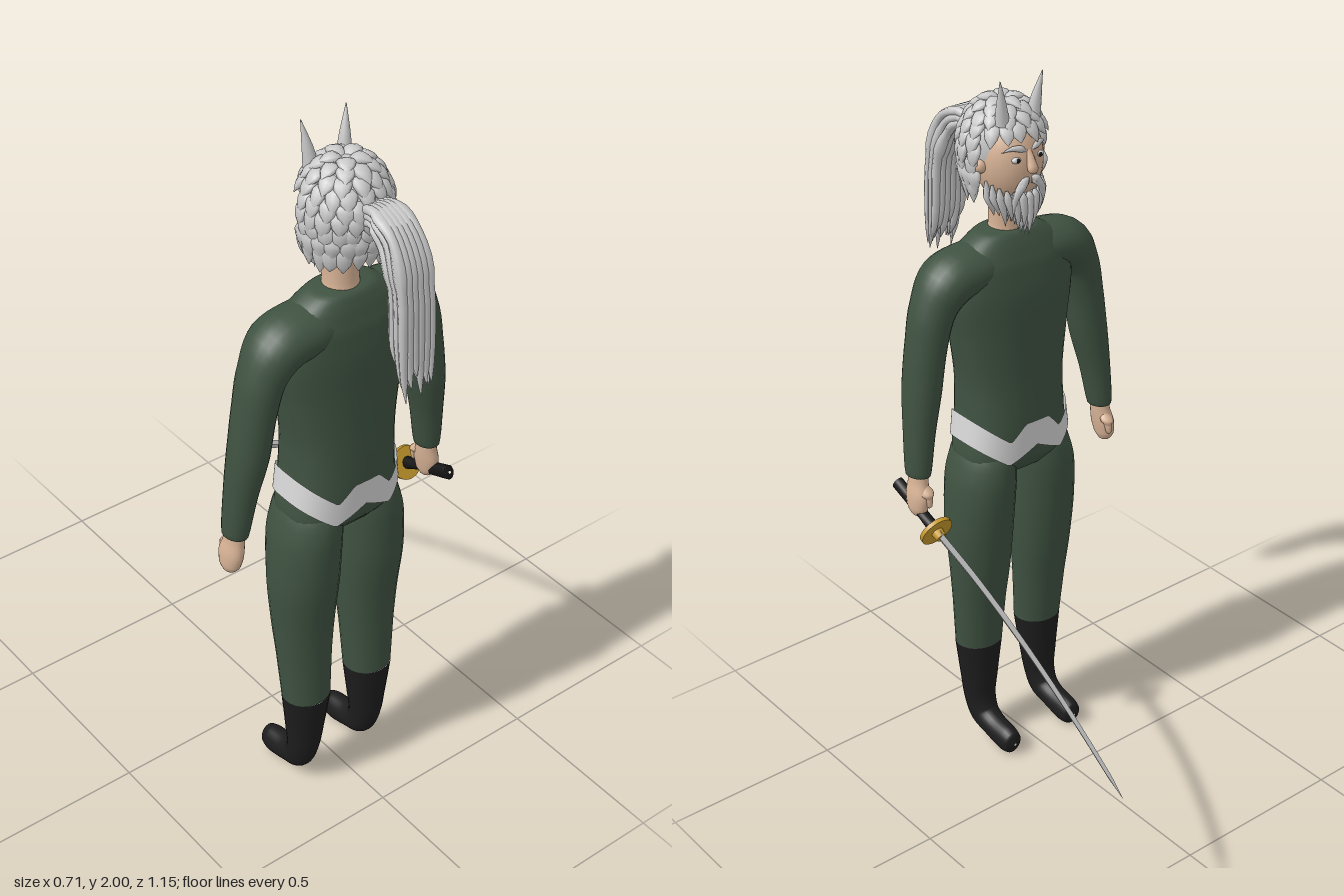
import * as THREE from 'three';
import { mergeGeometries } from 'three/addons/utils/BufferGeometryUtils.js';

const V = (x, y, z) => new THREE.Vector3(x, y, z);
const mat = (name, color) => Object.assign(new THREE.MeshStandardMaterial({ color }), { name });
const X = V(1, 0, 0), Z = V(0, 0, 1);
const lerp = THREE.MathUtils.lerp;

// signed power, squares off an ellipse
const pow = (v, p) => Math.sign(v) * Math.abs(v) ** p;

// Skin over sections [x, y, z, radius along axis, radius across axis]
function loft(sections, axis, { sides = 24, steps = 5, p = 1, flat = false } = {}) {
  const path = new THREE.CatmullRomCurve3(sections.map(s => V(s[0], s[1], s[2])));
  const size = new THREE.CatmullRomCurve3(sections.map(s => V(s[3], s[4], 0)));
  const n = (sections.length - 1) * steps, pos = [], idx = [];
  for (let i = 0; i <= n; i++) {
    const c = path.getPoint(i / n), r = size.getPoint(i / n);
    const w = path.getTangent(i / n).cross(axis).normalize();
    for (let j = 0; j < sides; j++) {
      const a = j / sides * Math.PI * 2;
      const q = c.clone().addScaledVector(axis, r.x * pow(Math.cos(a), p)).addScaledVector(w, r.y * pow(Math.sin(a), p));
      pos.push(q.x, q.y, q.z);
      if (i < n) {
        const k = i * sides + j, l = i * sides + (j + 1) % sides;
        idx.push(k, l, k + sides, l, l + sides, k + sides);
      }
    }
  }
  let g = new THREE.BufferGeometry();
  g.setAttribute('position', new THREE.Float32BufferAttribute(pos, 3));
  g.setIndex(idx);
  if (flat) g = g.toNonIndexed();
  g.computeVertexNormals();
  return g;
}

export function createModel() {
  const root = new THREE.Group();
  const cloth = mat('green cloth', 0x3f5241), boot = mat('black boots', 0x1d1d1d);
  const hair = mat('grey hair', 0xc9c9c9), white = mat('white sash', 0xd6d6d6);
  const skin = mat('skin', 0xd8b396), gold = mat('gold', 0xc79a2c);
  const steel = mat('steel', 0xa8a8a8), black = mat('black wrap', 0x141414);
  sash: white.side = THREE.DoubleSide;
  const body = new THREE.Group();
  body.name = 'body';
  body.position.x = -0.012;
  root.add(body);
  const add = (name, geo, m, parent = body) => {
    const mesh = new THREE.Mesh(geo, m);
    mesh.name = name;
    parent.add(mesh);
    return mesh;
  };
  let seed = 7;
  const rnd = () => (seed = (seed * 16807) % 2147483647) / 2147483647;

  // Torso
  add('torso', loft([
    [0, 0.9, 0.28, 0.13, 0.08], [0, 0.95, 0.28, 0.164, 0.114], [0, 1.05, 0.28, 0.15, 0.118],
    [0, 1.15, 0.28, 0.148, 0.114], [0, 1.3, 0.278, 0.168, 0.108], [0, 1.42, 0.278, 0.188, 0.102],
    [0, 1.5, 0.28, 0.18, 0.09], [0, 1.55, 0.282, 0.135, 0.072], [0, 1.58, 0.283, 0.085, 0.055],
    [0, 1.588, 0.283, 0.03, 0.02]], X, { sides: 40, p: 0.8 }), cloth);

  // Jagged sash around the waist
  const zig = (nodes, t) => {
    for (let i = 1; i < nodes.length; i++) {
      const [a, b] = [nodes[i - 1], nodes[i]];
      if (t <= b[0]) return lerp(a[1], b[1], (t - a[0]) / (b[0] - a[0]));
    }
    return nodes[nodes.length - 1][1];
  };
  const sash = new THREE.CylinderGeometry(1, 1, 1, 120, 3, true);
  const sp = sash.attributes.position;
  for (let i = 0; i < sp.count; i++) {
    const x = pow(sp.getX(i), 0.8), z = pow(sp.getZ(i), 0.8), t = Math.abs(x);
    const top = zig([[0, 1.06], [0.25, 1.06], [0.5, 1.012], [1, 1.072]], t);
    const low = zig([[0, 0.985], [0.5, 0.943], [1, 1.0]], t);
    const y = lerp(low, top, sp.getY(i) + 0.5), k = (y - 0.95) / 0.1;
    sp.setXYZ(i, x * lerp(0.171, 0.156, k), y, 0.28 + z * lerp(0.12, 0.124, k));
  }
  sash.computeVertexNormals();
  add('sash', sash, white);

  for (const s of [-1, 1]) {
    const side = s < 0 ? 'right' : 'left';
    // Legs and boots
    add(side + 'Leg', loft([
      [s * 0.07, 1.02, 0.28, 0.06, 0.08], [s * 0.09, 0.94, 0.28, 0.08, 0.106], [s * 0.1, 0.87, 0.281, 0.09, 0.11],
      [s * 0.106, 0.74, 0.285, 0.094, 0.1], [s * 0.106, 0.6, 0.286, 0.087, 0.083],
      [s * 0.106, 0.48, 0.293, 0.078, 0.07], [s * 0.105, 0.325, 0.303, 0.068, 0.062]], X), cloth);
    add(side + 'Boot', loft([
      [s * 0.105, 0.33, 0.303, 0.069, 0.063], [s * 0.107, 0.22, 0.302, 0.056, 0.052],
      [s * 0.109, 0.13, 0.298, 0.045, 0.044], [s * 0.109, 0.082, 0.278, 0.04, 0.043],
      [s * 0.109, 0.06, 0.235, 0.035, 0.038], [s * 0.109, 0.046, 0.175, 0.033, 0.042],
      [s * 0.109, 0.043, 0.146, 0.027, 0.034], [s * 0.109, 0.042, 0.136, 0.004, 0.005]], X), boot);
    // Arms and hands
    add(side + 'Arm', loft([
      [s * 0.03, 1.5, 0.282, 0.07, 0.06], [s * 0.12, 1.495, 0.282, 0.084, 0.066], [s * 0.19, 1.478, 0.282, 0.082, 0.068],
      [s * 0.235, 1.415, 0.284, 0.067, 0.058], [s * 0.26, 1.32, 0.285, 0.06, 0.053],
      [s * 0.279, 1.2, 0.285, 0.057, 0.051], [s * 0.298, 1.08, 0.278, 0.047, 0.041],
      [s * 0.311, 0.96, 0.272, 0.038, 0.031], [s * 0.311, 0.957, 0.272, 0.02, 0.015]], Z), cloth);
    add(side + 'Hand', loft([
      [s * 0.31, 0.99, 0.272, 0.028, 0.022], [s * 0.313, 0.94, 0.27, 0.032, 0.024], [s * 0.319, 0.9, 0.266, 0.04, 0.026],
      [s * 0.322, 0.865, 0.264, 0.034, 0.023], [s * 0.322, 0.845, 0.263, 0.018, 0.014], [s * 0.322, 0.84, 0.263, 0.002, 0.002]], Z), skin);
    add(side + 'Thumb', loft([
      [s * 0.312, 0.935, 0.25, 0.012, 0.012], [s * 0.31, 0.905, 0.232, 0.012, 0.012],
      [s * 0.31, 0.88, 0.228, 0.008, 0.008], [s * 0.31, 0.872, 0.228, 0.001, 0.001]], Z, { sides: 10 }), skin);
    // Face details and horns
    const eye = add(side + 'Eye', new THREE.SphereGeometry(0.014, 14, 10), white);
    eye.position.set(s * 0.036, 1.795, 0.186);
    eye.scale.set(1, 0.6, 0.6);
    const pupil = add(side + 'Pupil', new THREE.SphereGeometry(0.006, 10, 8), black);
    pupil.position.set(s * 0.035, 1.795, 0.179);
    pupil.scale.z = 0.5;
    add(side + 'Ear', new THREE.SphereGeometry(0.02, 12, 8), skin).position.set(s * 0.092, 1.77, 0.265);
    add(side + 'Horn', loft([
      [s * 0.048, 1.88, 0.225, 0.02, 0.02], [s * 0.055, 1.935, 0.218, 0.013, 0.013],
      [s * 0.066, 2.0, 0.207, 0.001, 0.001]], X, { sides: 10 }), hair);
  }

  // Neck, head and nose
  add('neck', loft([[0, 1.55, 0.283, 0.055, 0.05], [0, 1.6, 0.28, 0.046, 0.044], [0, 1.7, 0.275, 0.046, 0.045]], X), skin);
  const head = add('head', new THREE.SphereGeometry(1, 32, 24), skin);
  head.scale.set(0.088, 0.125, 0.09);
  head.position.set(0, 1.775, 0.264);
  add('nose', loft([
    [0, 1.815, 0.185, 0.008, 0.008], [0, 1.785, 0.172, 0.012, 0.012], [0, 1.768, 0.166, 0.015, 0.012],
    [0, 1.757, 0.172, 0.004, 0.004]], X, { sides: 12 }), skin);

  // Scalp with overlapping leaf-shaped tufts
  const cap = add('scalp', new THREE.SphereGeometry(1, 32, 24), hair);
  cap.scale.set(0.103, 0.118, 0.098);
  cap.position.set(0, 1.805, 0.3);
  const leaf = (pts, w, t, axis) => loft(pts.map((q, i) => {
    const f = [0.3, 1, 0.75, 0.04][i];
    return [q.x, q.y, q.z, w * f, t * f];
  }), axis, { sides: 8, steps: 2 });
  const onHead = (th, a, k) => V(Math.sin(th) * Math.sin(a) * 0.106 * k, 1.797 + Math.cos(th) * 0.126 * k, 0.288 - Math.sin(th) * Math.cos(a) * 0.108 * k);
  const tufts = [];
  for (let row = 0; row < 9; row++) {
    const th = 0.08 + row * 0.235, count = Math.round(4 + Math.sin(th) * 17);
    for (let j = 0; j < count; j++) {
      const a = (j + (row % 2) / 2) / count * Math.PI * 2 + (rnd() - 0.5) * 0.12;
      if (th > 0.88 && Math.cos(a) > 0.3) continue;
      const axis = V(Math.cos(a), 0, Math.sin(a));
      const d = 0.46 + rnd() * 0.1;
      const pts = [onHead(th, a, 0.95), onHead(th + d * 0.35, a, 1.03), onHead(th + d * 0.7, a, 1.08), onHead(th + d, a, 1.12)];
      if (th > 1.4) for (let i = 1; i < 4; i++) {
        const b = onHead(th, a, 1.05);
        pts[i].set(b.x * (1 - i * 0.015), b.y - i * (0.025 + rnd() * 0.005), lerp(b.z, 0.288, i * 0.03));
      }
      tufts.push(leaf(pts, 0.021 + rnd() * 0.004, 0.011, axis));
    }
  }
  add('hairTufts', mergeGeometries(tufts), hair);

  // Beard, moustache and eyebrows
  const beard = [];
  for (let layer = 0; layer < 3; layer++) for (let j = 0; j < 13; j++) {
    const a = (j / 12 - 0.5) * 2.9, k = 1 - layer * 0.22;
    const x = Math.sin(a) * 0.082 * k, z = 0.262 - Math.cos(a) * 0.078 * k;
    const end = 1.575 + Math.abs(Math.sin(a)) * 0.035 + rnd() * 0.03;
    beard.push(leaf([V(x, 1.735 - Math.cos(a) * 0.03, z), V(x, 1.69, z - 0.004),
      V(x * 0.85, lerp(1.69, end, 0.5), z - 0.006), V(x * 0.7, end, z + 0.002)], 0.012, 0.009, X));
  }
  for (const s of [-1, 1]) {
    for (let j = 0; j < 3; j++) beard.push(leaf([V(s * 0.004, 1.742 - j * 0.005, 0.178),
      V(s * (0.018 + j * 0.004), 1.738 - j * 0.006, 0.174), V(s * (0.036 + j * 0.004), 1.715 - j * 0.012, 0.182),
      V(s * (0.05 - j * 0.004), 1.665 - j * 0.012, 0.192)], 0.009, 0.011, Z));
    beard.push(leaf([V(s * 0.01, 1.815, 0.181), V(s * 0.025, 1.823, 0.182), V(s * 0.045, 1.826, 0.189), V(s * 0.068, 1.815, 0.205)], 0.007, 0.009, Z));
  }
  add('beard', mergeGeometries(beard), hair);

  // Ponytail of hanging locks
  const locks = [];
  for (let layer = 0; layer < 3; layer++) for (let j = 0; j < 6; j++) {
    const u = (j - 2.5) / 2.5, k = layer * 0.016, len = 1.38 + rnd() * 0.1 + layer * 0.03;
    const w = 0.012 + rnd() * 0.004;
    locks.push(loft([
      [u * 0.022, 1.83 - k, 0.37, w * 0.8, 0.012], [u * 0.03, 1.85 - k, 0.43, w, 0.012],
      [u * 0.036, 1.812 - k, 0.503 - k, w, 0.012], [u * 0.04, 1.7, 0.545 - k, w, 0.012],
      [u * 0.042, 1.55, 0.56 - k, w * 0.9, 0.01], [u * 0.04, lerp(1.55, len, 0.6), 0.566 - k * 0.8, w * 0.7, 0.007],
      [u * 0.038, len, 0.574 - k * 0.5, 0.001, 0.001]], X, { sides: 8, steps: 4 }));
  }
  add('ponytail', mergeGeometries(locks), hair);

  // Curved sword held in the +x hand
  const sword = new THREE.Group();
  sword.name = 'sword';
  sword.position.x = 0.31;
  root.add(sword);
  add('blade', loft([
    [0, 0.828, 0.185, 0.007, 0.016], [0, 0.755, 0.0, 0.007, 0.015], [0, 0.655, -0.2, 0.0065, 0.014],
    [0, 0.54, -0.39, 0.006, 0.012], [0, 0.45, -0.52, 0.005, 0.01], [0, 0.41, -0.575, 0.0005, 0.0005]],
    X, { sides: 4, flat: true }), steel, sword);
  add('grip', loft([
    [0, 0.9, 0.356, 0.004, 0.004], [0, 0.898, 0.352, 0.016, 0.02], [0, 0.865, 0.27, 0.016, 0.018],
    [0, 0.828, 0.185, 0.016, 0.018]], X, { sides: 14 }), black, sword);
  const dir = V(0, -0.41, -0.91).normalize();
  const guard = add('guard', new THREE.CylinderGeometry(0.047, 0.047, 0.012, 32), gold, sword);
  guard.position.set(0, 0.828, 0.185);
  guard.quaternion.setFromUnitVectors(V(0, 1, 0), dir);
  const collar = add('collar', new THREE.CylinderGeometry(0.014, 0.018, 0.03, 16), gold, sword);
  collar.position.copy(guard.position).addScaledVector(dir, 0.012);
  collar.quaternion.copy(guard.quaternion);
  return root;
}
